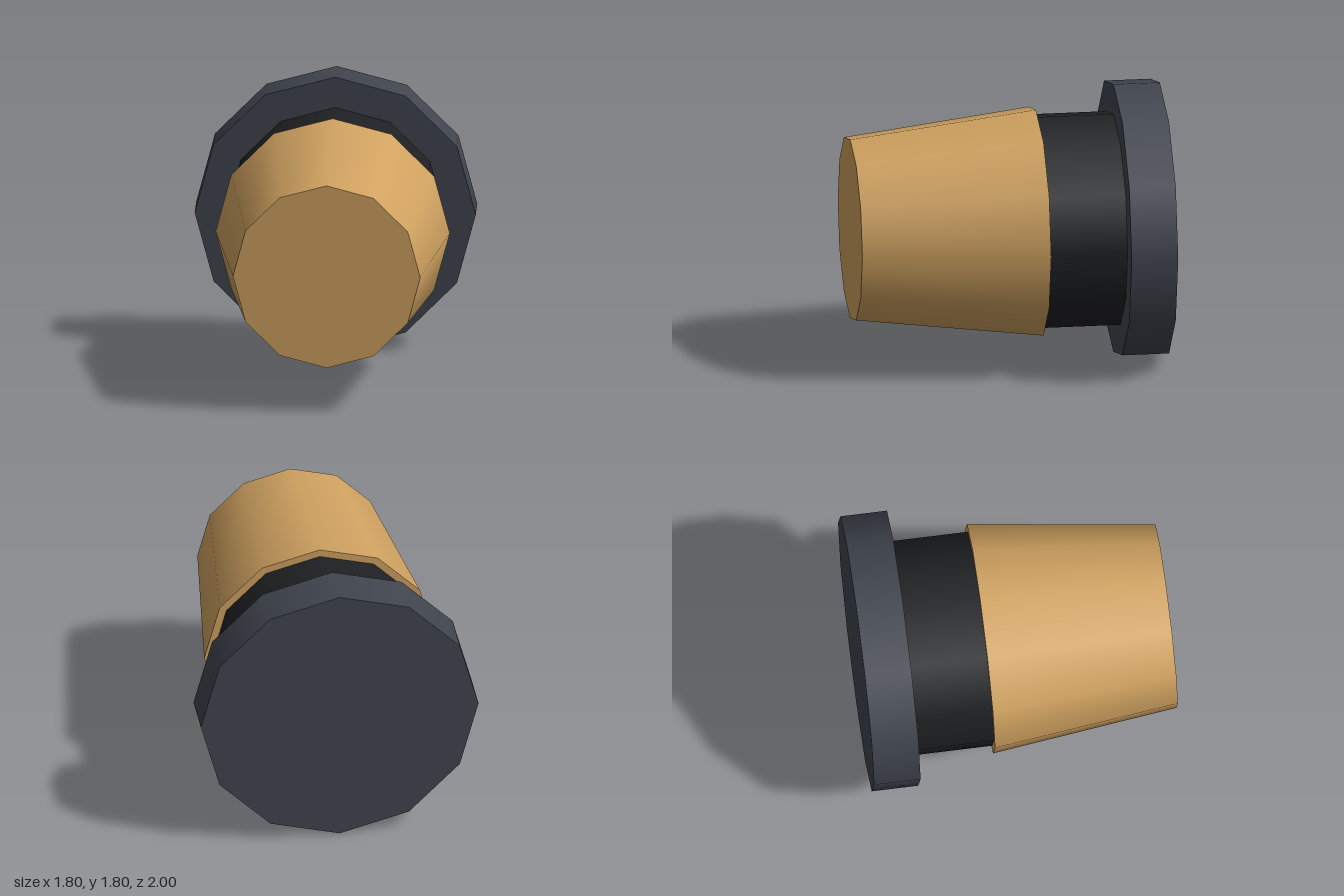
import * as THREE from 'three';

const SIDES = 12;
const AXIS_HEIGHT = 0.9;

// Twelve-sided section along z, smooth around its side with flat ends
function section(name, color, frontRadius, backRadius, frontZ, backZ) {
  const geometry = new THREE.CylinderGeometry(frontRadius, backRadius, frontZ - backZ, SIDES);
  geometry.rotateX(Math.PI / 2);
  const mesh = new THREE.Mesh(geometry, new THREE.MeshStandardMaterial({ color }));
  mesh.name = name;
  mesh.position.set(0, AXIS_HEIGHT, (frontZ + backZ) / 2);
  return mesh;
}

export function createModel() {
  const group = new THREE.Group();
  group.name = 'bottleStopper';
  group.add(
    section('corkPlug', 0xd0a260, 0.6, 0.75, 1, -0.2), // tapered plug
    section('neckCollar', 0x1f2023, 0.7, 0.7, -0.2, -0.7), // dark collar
    section('capDisc', 0x40454e, 0.9, 0.9, -0.7, -1) // wide end cap
  );
  return group;
}
